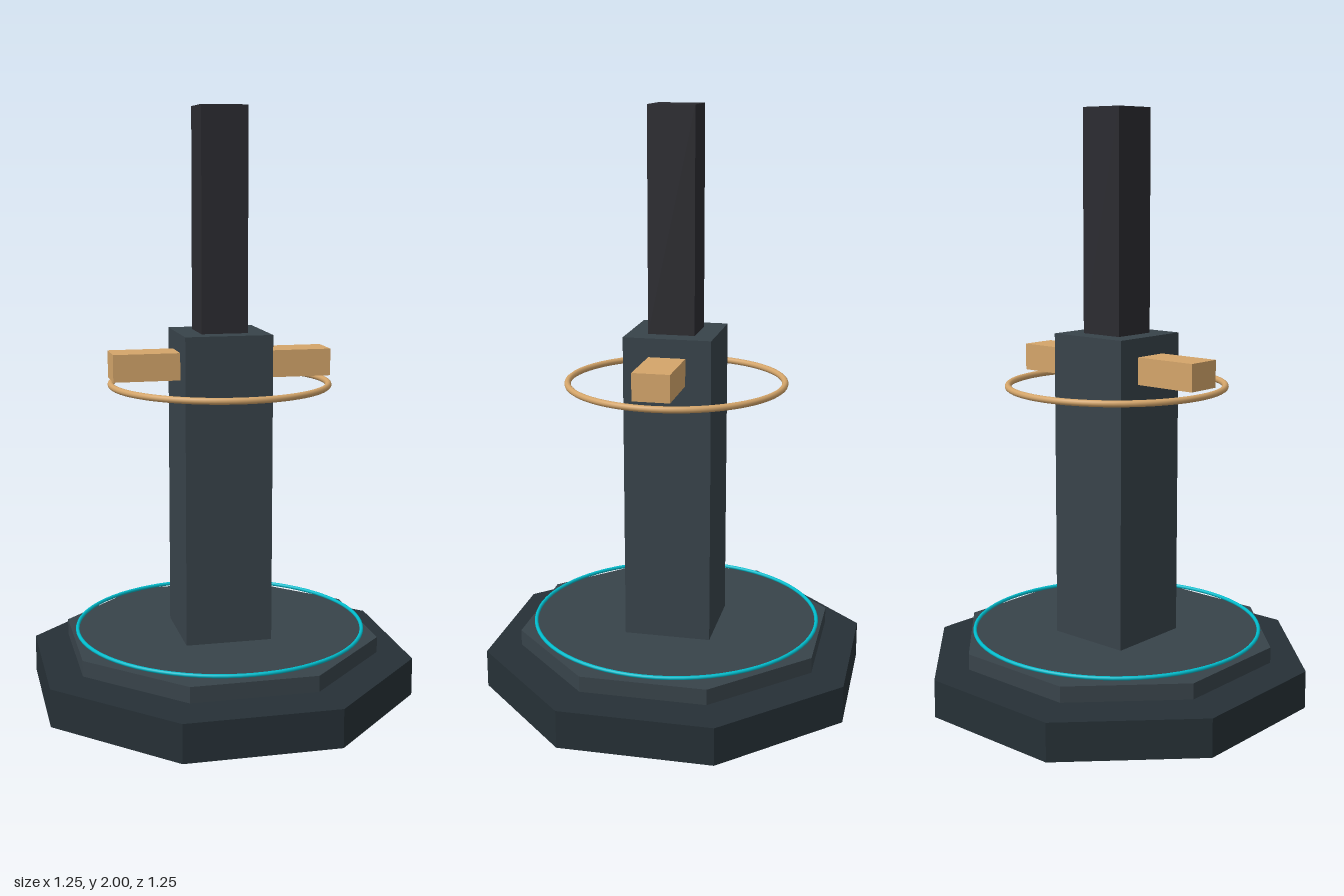
import * as THREE from 'three';

const paint = (color, flatShading = true) => new THREE.MeshStandardMaterial({ color, flatShading });

export function createModel() {
  const model = new THREE.Group();
  const slate = paint(0x38434a), darkSlate = paint(0x263036);
  const charcoal = paint(0x2b2b30), brass = paint(0xd4a56a);

  const add = (name, geometry, material, y, x = 0) => {
    const mesh = new THREE.Mesh(geometry, material);
    mesh.name = name;
    mesh.position.set(x, y, 0);
    model.add(mesh);
    return mesh;
  };

  // Octagonal slab with flat sides facing the axes
  const slab = (name, halfWidth, y0, y1, material) => {
    const r = halfWidth / Math.cos(Math.PI / 8);
    const geometry = new THREE.CylinderGeometry(r, r, y1 - y0, 8).rotateY(Math.PI / 8);
    add(name, geometry, material, (y0 + y1) / 2);
  };

  // Square or rectangular block between two heights
  const block = (name, w, d, y0, y1, material, x = 0) =>
    add(name, new THREE.BoxGeometry(w, y1 - y0, d), material, (y0 + y1) / 2, x);

  // Thin horizontal ring
  const ring = (name, radius, tube, y, color) =>
    add(name, new THREE.TorusGeometry(radius, tube, 10, 72).rotateX(Math.PI / 2), paint(color, false), y);

  // Stepped base, with a narrow gap between the slabs
  slab('basePlinth', 0.623, 0, 0.13, darkSlate);
  slab('baseStep', 0.51, 0.146, 0.2, slate);
  ring('glowRing', 0.497, 0.0065, 0.217, 0x00bccc);

  // Column and upper mast
  block('column', 0.297, 0.297, 0.2, 1.253, slate);
  block('mast', 0.158, 0.158, 1.253, 2, charcoal);

  // Brass side arms above a brass ring
  for (const [name, side] of [['leftArm', 1], ['rightArm', -1]]) {
    block(name, 0.235, 0.125, 1.098, 1.19, brass, side * 0.2565);
  }
  ring('brassRing', 0.37, 0.011, 1.075, 0xd4a56a);

  return model;
}
